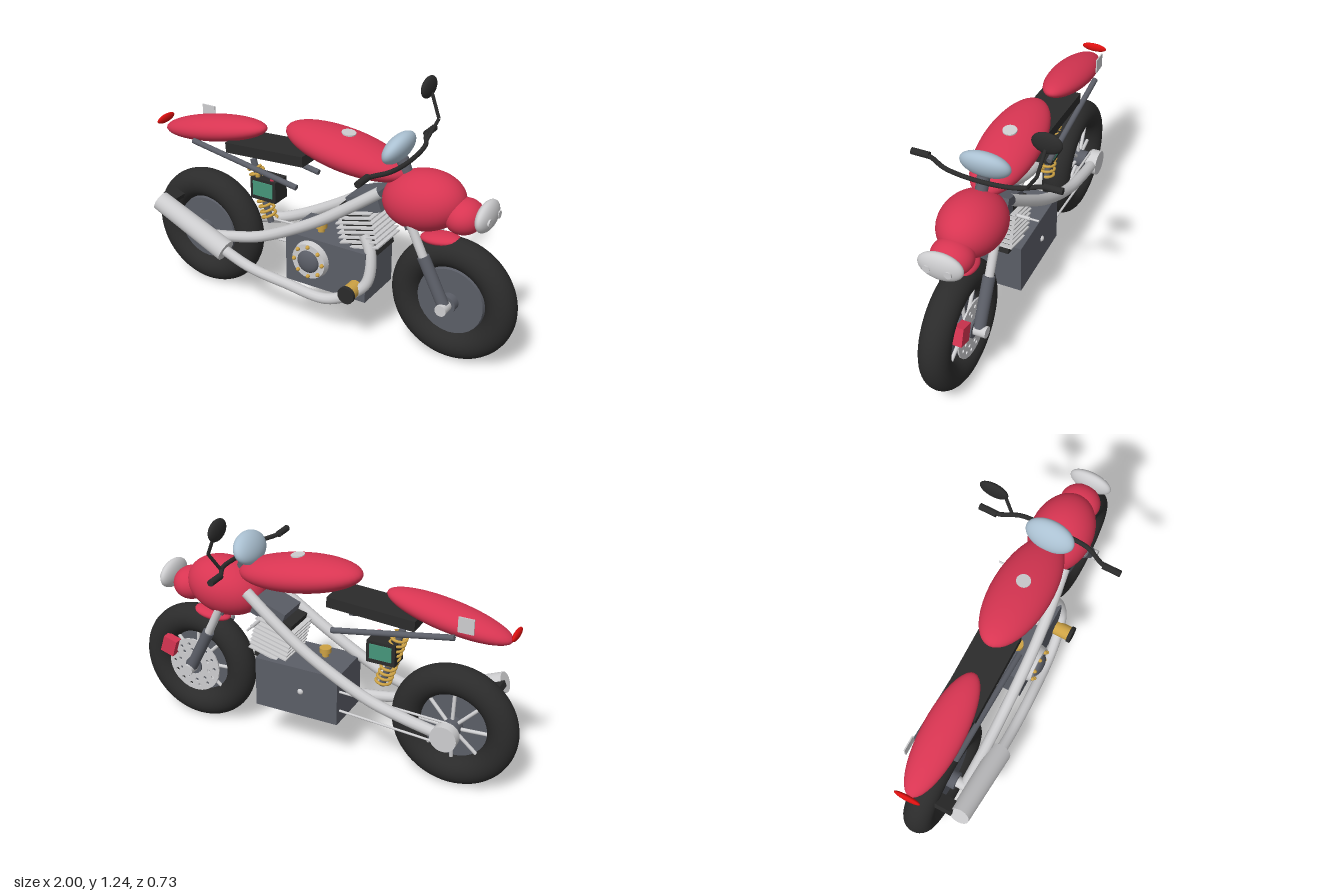
import * as THREE from 'three';

const mat = (name, hex) => {
  const m = new THREE.MeshStandardMaterial({ color: hex });
  m.name = name;
  return m;
};

export function createModel() {
  const red = mat('paint red', 0xd83552), black = mat('rubber black', 0x2b2b2b);
  const grey = mat('engine grey', 0x5b5e67), silver = mat('silver', 0xcdcdcf);
  const glass = mat('windshield blue', 0xabc1d2), gold = mat('gold', 0xcda244);
  const green = mat('battery green', 0x45967a), lamp = mat('lamp red', 0xdd1010);
  const bike = new THREE.Group();
  bike.name = 'motorcycle';
  const V = (a) => new THREE.Vector3(...a);

  const add = (name, geo, m, pos = [0, 0, 0], rot = [0, 0, 0]) => {
    const mesh = new THREE.Mesh(geo, m);
    mesh.name = name;
    mesh.position.set(...pos);
    mesh.rotation.set(...rot);
    bike.add(mesh);
    return mesh;
  };
  const box = (name, m, size, pos, rz = 0) => add(name, new THREE.BoxGeometry(...size), m, pos, [0, 0, rz]);
  const ball = (name, m, r, pos, rz = 0) => {
    const b = add(name, new THREE.SphereGeometry(1, 40, 28), m, pos, [0, 0, rz]);
    b.scale.set(...r);
    return b;
  };
  // cylinder between two points
  const rod = (name, m, a, b, r1, r2 = r1) => {
    const p = V(a), q = V(b), d = q.clone().sub(p);
    const c = add(name, new THREE.CylinderGeometry(r2, r1, d.length(), 28), m);
    c.position.copy(p).add(q).multiplyScalar(0.5);
    c.quaternion.setFromUnitVectors(V([0, 1, 0]), d.normalize());
    return c;
  };
  const tube = (name, m, pts, r, n = 48) =>
    add(name, new THREE.TubeGeometry(new THREE.CatmullRomCurve3(pts.map(V)), n, r, 12), m);

  // wheels: tyre, dished cover on the left side, spokes on the right side
  for (const [label, x] of [['rear', -0.69], ['front', 0.69]]) {
    const y = 0.315;
    add(label + 'Tyre', new THREE.TorusGeometry(0.238, 0.073, 28, 64), black, [x, y, 0]);
    rod(label + 'WheelCover', grey, [x, y, -0.005], [x, y, 0.04], 0.172, 0.165);
    rod(label + 'Hub', grey, [x, y, -0.08], [x, y, 0.08], 0.045);
    for (let i = 0; i < 8; i++) {
      const a = (i * Math.PI) / 4;
      const c = Math.cos(a), s = Math.sin(a);
      rod(label + 'Spoke', silver, [x + 0.03 * c, y + 0.03 * s, -0.03], [x + 0.18 * c, y + 0.18 * s, -0.015], 0.009);
    }
    rod(label + 'Axle', silver, [x, y, -0.14], [x, y, 0.14], 0.028);
  }
  rod('rearAxlePlate', silver, [-0.69, 0.315, -0.15], [-0.69, 0.315, -0.1], 0.065);

  // drilled brake disc and caliper
  const disc = new THREE.Shape().absarc(0, 0, 0.145, 0, Math.PI * 2);
  for (const [r, n, off] of [[0.115, 14, 0], [0.085, 10, 0.2]])
    for (let i = 0; i < n; i++) {
      const a = off + (i * 2 * Math.PI) / n;
      disc.holes.push(new THREE.Path().absarc(r * Math.cos(a), r * Math.sin(a), 0.009, 0, Math.PI * 2, true));
    }
  add('brakeDisc', new THREE.ExtrudeGeometry(disc, { depth: 0.008, bevelEnabled: false, curveSegments: 12 }), silver, [0.69, 0.315, -0.07]);
  box('brakeCaliper', red, [0.075, 0.09, 0.045], [0.82, 0.405, -0.08], 0.3);

  // forks, frame tubes and seat rails, mirrored
  for (const s of [-1, 1]) {
    rod('forkUpper', silver, [0.5, 0.7, s * 0.1], [0.6, 0.49, s * 0.1], 0.021);
    rod('forkLower', grey, [0.575, 0.545, s * 0.1], [0.685, 0.325, s * 0.1], 0.029);
    tube('frameTube', silver, [[0.35, 0.81, s * 0.1], [0.2, 0.7, s * 0.115], [0, 0.565, s * 0.125],
      [-0.3, 0.41, s * 0.125], [-0.48, 0.36, s * 0.125], [-0.69, 0.315, s * 0.12]], 0.028);
    rod('seatRail', grey, [-0.7, 0.82, s * 0.1], [-0.1, 0.715, s * 0.1], 0.014);
    rod('headlightLens', silver, [0.835, 0.77, s * 0.05], [0.866, 0.77, s * 0.05], 0.018);
  }
  rod('steeringStem', grey, [0.5, 0.7, 0], [0.4, 0.95, 0], 0.03);
  box('forkBridge', grey, [0.07, 0.04, 0.22], [0.51, 0.69, 0], 0.4);

  // painted bodywork
  ball('tail', red, [0.306, 0.064, 0.1], [-0.635, 0.868, 0], 0.19);
  ball('tank', red, [0.325, 0.088, 0.142], [0.115, 0.922, 0], -0.15);
  ball('fairing', red, [0.202, 0.142, 0.152], [0.52, 0.775, 0], 0.17);
  ball('nose', red, [0.09, 0.082, 0.1], [0.72, 0.745, 0], 0.1);
  ball('frontFender', red, [0.1, 0.028, 0.06], [0.61, 0.603, 0], 0.12);
  ball('headlight', silver, [0.037, 0.07, 0.108], [0.828, 0.775, 0]);
  ball('windshield', glass, [0.05, 0.08, 0.122], [0.383, 0.998, 0], -0.5);
  ball('tailLight', lamp, [0.013, 0.022, 0.065], [-0.95, 0.85, 0]);
  rod('tankCap', silver, [0.122, 0.99, 0], [0.125, 1.014, 0], 0.034);
  box('numberPlate', silver, [0.075, 0.075, 0.006], [-0.75, 0.89, -0.1]);
  box('seat', black, [0.44, 0.052, 0.19], [-0.29, 0.838, 0], 0.06);

  // handlebar with grips, and one mirror
  tube('handlebar', black, [[0.38, 0.96, -0.35], [0.385, 0.96, -0.27], [0.43, 0.955, -0.17], [0.44, 0.945, 0],
    [0.43, 0.955, 0.17], [0.385, 0.96, 0.27], [0.38, 0.96, 0.35]], 0.011);
  for (const s of [-1, 1]) rod('grip', black, [0.38, 0.962, s * 0.275], [0.38, 0.962, s * 0.363], 0.016);
  rod('mirrorStemLower', black, [0.415, 0.96, -0.212], [0.445, 1.055, -0.268], 0.008);
  rod('mirrorStemUpper', black, [0.445, 1.055, -0.268], [0.395, 1.17, -0.285], 0.008);
  ball('mirror', black, [0.022, 0.052, 0.071], [0.38, 1.192, -0.285]);

  // engine block with bolted round cover
  box('engineBlock', grey, [0.44, 0.26, 0.26], [0.075, 0.355, 0]);
  rod('engineCover', silver, [0, 0.375, 0.13], [0, 0.375, 0.16], 0.097, 0.09);
  ball('coverDome', grey, [0.058, 0.058, 0.025], [0, 0.375, 0.16]);
  for (let i = 0; i < 8; i++) {
    const a = (i * Math.PI) / 4;
    ball('coverBolt', gold, [0.01, 0.01, 0.012], [0.078 * Math.cos(a), 0.375 + 0.078 * Math.sin(a), 0.163]);
  }
  rod('oilNeck', gold, [0, 0.48, 0.04], [0, 0.51, 0.04], 0.017);
  rod('oilCap', gold, [0, 0.507, 0.04], [0, 0.532, 0.04], 0.029);
  ball('drainBolt', silver, [0.015, 0.015, 0.012], [0.05, 0.36, -0.13]);
  rod('intakeHorn', gold, [0.245, 0.297, 0.12], [0.245, 0.297, 0.212], 0.037);
  rod('intakeFilter', black, [0.245, 0.297, 0.208], [0.245, 0.297, 0.226], 0.043);

  // finned cylinder leaning back
  box('cylinderCore', black, [0.155, 0.25, 0.16], [0.225, 0.57, 0], 0.25);
  for (let i = 0; i < 8; i++)
    box('coolingFin', silver, [0.205, 0.007, 0.21], [0.247 - 0.0062 * i, 0.495 + 0.0235 * i, 0], 0.25);
  box('cylinderHead', grey, [0.17, 0.09, 0.16], [0.25, 0.71, 0], 0.35);
  rod('sparkPlug', silver, [0.285, 0.675, -0.07], [0.285, 0.675, -0.17], 0.009);
  rod('sparkPlugTip', silver, [0.285, 0.675, -0.16], [0.285, 0.675, -0.213], 0.005);

  // exhaust
  tube('exhaustPipe', silver, [[0.26, 0.56, 0.08], [0.305, 0.47, 0.1], [0.305, 0.34, 0.13], [0.23, 0.265, 0.15],
    [0.1, 0.205, 0.165], [-0.12, 0.23, 0.18], [-0.32, 0.26, 0.187], [-0.5, 0.325, 0.19]], 0.027, 64);
  rod('muffler', silver, [-0.465, 0.312, 0.19], [-0.86, 0.487, 0.19], 0.056, 0.05);
  box('mufflerBracket', black, [0.07, 0.03, 0.09], [-0.84, 0.49, 0.11], -0.4);

  // chain runs
  rod('chainUpper', silver, [-0.69, 0.375, -0.1], [0, 0.4, -0.1], 0.006);
  rod('chainLower', silver, [-0.69, 0.255, -0.1], [0, 0.3, -0.1], 0.006);

  // rear shock with coil spring
  const top = V([-0.415, 0.75, 0]), bottom = V([-0.318, 0.43, 0]);
  rod('shockRod', grey, top.toArray(), bottom.toArray(), 0.016);
  const coil = [];
  for (let i = 0; i <= 120; i++) {
    const t = i / 120, a = t * Math.PI * 2 * 10;
    const p = top.clone().lerp(bottom, 0.1 + 0.85 * t);
    coil.push([p.x + 0.034 * Math.cos(a), p.y + 0.01 * Math.cos(a), 0.034 * Math.sin(a)]);
  }
  tube('shockSpring', gold, coil, 0.007, 300);

  // battery with a coloured label on each side
  box('batteryCase', black, [0.145, 0.112, 0.1], [-0.328, 0.622, 0]);
  for (const s of [-1, 1]) box('batteryLabel', green, [0.112, 0.075, 0.008], [-0.328, 0.626, s * 0.051]);
  rod('batteryTerminal', gold, [-0.37, 0.675, 0.03], [-0.37, 0.695, 0.03], 0.012);
  rod('batteryTerminalRed', red, [-0.285, 0.675, 0.03], [-0.285, 0.695, 0.03], 0.012);
  return bike;
}
